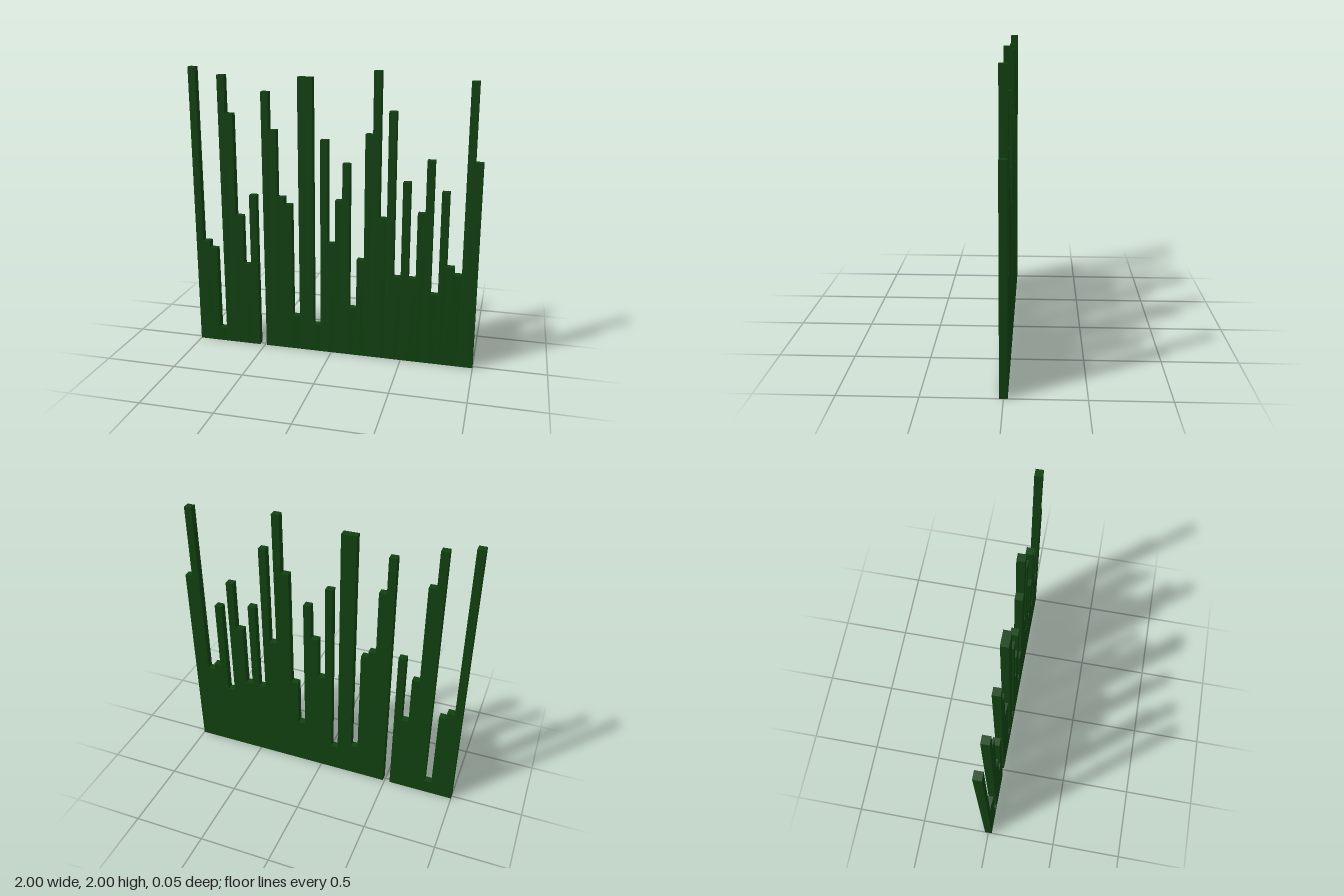
import * as THREE from 'three';

// Column heights in whole units, from -x to +x (0 leaves a gap)
const HEIGHTS = [
  39, 15, 14, 2, 38, 33, 19, 12, 22, 0, 36, 31, 22, 21, 5, 38, 38, 4, 30, 16,
  22, 27, 7, 14, 31, 39, 20, 34, 12, 25, 12, 21, 28, 10, 24, 14, 13, 38, 28,
];

export function createModel() {
  const group = new THREE.Group();
  group.name = 'barChart';
  const darkGreen = new THREE.MeshStandardMaterial({ color: 0x104010 });
  darkGreen.name = 'dark green';

  // Square-section bars standing side by side on the ground
  const unit = 2 / HEIGHTS.length;
  HEIGHTS.forEach((units, i) => {
    if (units === 0) return;
    const height = units * unit;
    const bar = new THREE.Mesh(new THREE.BoxGeometry(unit, height, unit), darkGreen);
    bar.name = `bar${i + 1}`;
    bar.position.set(-1 + (i + 0.5) * unit, height / 2, 0);
    group.add(bar);
  });
  return group;
}
